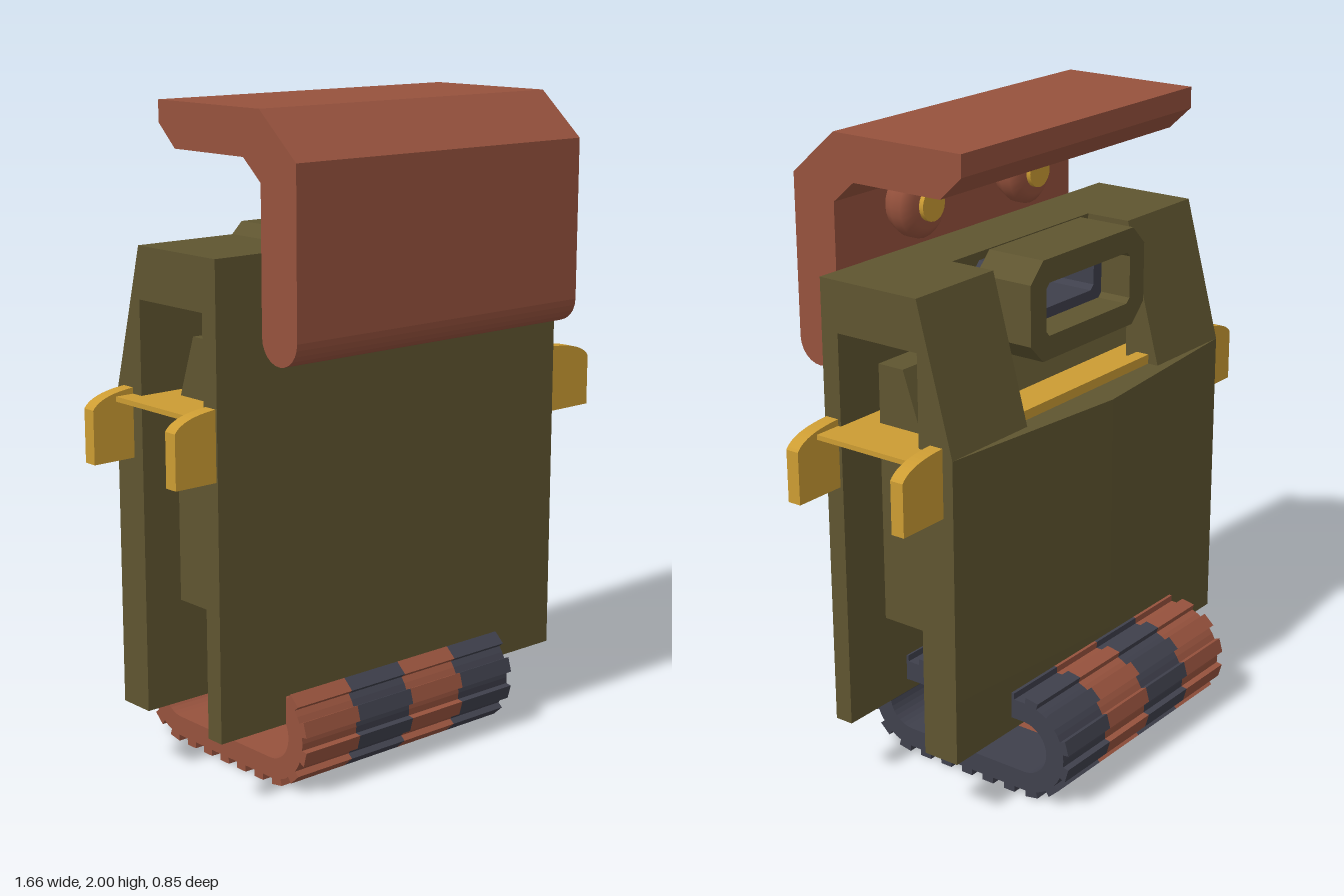
import * as THREE from 'three';

const mat = (name, color) => {
  const m = new THREE.MeshStandardMaterial({ color });
  m.name = name;
  return m;
};

export function createModel() {
  const olive = mat('olive', 0x5f5530);
  const rust = mat('rust brown', 0x96523d);
  const gold = mat('gold', 0xcc9c33);
  const slate = mat('slate', 0x3f404c);
  const model = new THREE.Group();
  const cx = -0.015; // centre line of the body

  const add = (name, geo, material) => {
    const m = new THREE.Mesh(geo, material);
    m.name = name;
    model.add(m);
    return m;
  };
  // Box from its limits
  const box = (name, material, x0, x1, y0, y1, z0, z1) =>
    add(name, new THREE.BoxGeometry(x1 - x0, y1 - y0, z1 - z0)
      .translate((x0 + x1) / 2, (y0 + y1) / 2, (z0 + z1) / 2), material);
  // Side profile of [z, y] points, extruded along x
  const toShape = (pts) => new THREE.Shape(pts.map(([z, y]) => new THREE.Vector2(-z, y)));
  const sideExtrude = (name, material, shape, x0, x1) =>
    add(name, new THREE.ExtrudeGeometry(shape, { depth: x1 - x0, bevelEnabled: false })
      .translate(0, 0, x0).rotateY(Math.PI / 2), material);
  // Chamfered rectangle in the xy plane
  const octagon = (w, h, c) => [
    [-w, -h + c], [-w + c, -h], [w - c, -h], [w, -h + c],
    [w, h - c], [w - c, h], [-w + c, h], [-w, h - c],
  ].map(([x, y]) => new THREE.Vector2(x, y));
  const frame = (name, material, outer, inner, y, z0, z1) => {
    const s = new THREE.Shape(octagon(...outer));
    s.holes.push(new THREE.Path(octagon(...inner)));
    return add(name, new THREE.ExtrudeGeometry(s, { depth: z1 - z0, bevelEnabled: false })
      .translate(cx, y, z0), material);
  };

  // Body shell: full arch on both sides, notched in the middle
  const arch = toShape([[0.26, 0.21], [0.26, 1.605], [-0.09, 1.605], [-0.21, 1.16], [-0.21, 0.21],
    [-0.09, 0.21], [-0.09, 1.45], [0.2, 1.45], [0.2, 0.21]]);
  sideExtrude('bodyShellRight', olive, arch, -0.69, -0.35);
  sideExtrude('bodyShellLeft', olive, arch, 0.32, 0.66);
  sideExtrude('bodyFrontCentre', olive, toShape([[0.26, 0.21], [0.26, 1.605], [0.06, 1.605],
    [0.06, 1.45], [0.2, 1.45], [0.2, 0.21]]), -0.35, 0.32);
  box('bodyBackCentre', olive, -0.35, 0.32, 0.21, 1.16, -0.21, -0.09);

  // Shallow peaked back panel
  const wedge = new THREE.Shape([[-0.69, 0.21], [0.66, 0.21], [cx, 0.275]]
    .map(([x, y]) => new THREE.Vector2(x, y)));
  add('backPanel', new THREE.ExtrudeGeometry(wedge, { depth: 0.75, bevelEnabled: false })
    .rotateX(-Math.PI / 2).translate(0, 0.41, 0), olive);

  // Inner core and its leg down to the track
  sideExtrude('core', olive, toShape([[0.13, 0.55], [0.13, 1.35], [0.04, 1.35],
    [-0.04, 1.12], [-0.04, 0.55]]), -0.6, 0.57);
  box('coreLeg', slate, -0.4, 0.37, 0.34, 0.55, 0, 0.13);

  // Viewing window and its sleeve
  frame('windowHousing', olive, [0.285, 0.152, 0.06], [0.21, 0.08, 0.015], 1.4725, -0.185, 0.01);
  frame('windowSleeve', slate, [0.25, 0.11, 0.04], [0.17, 0.045, 0.015], 1.47, -0.08, 0.28);

  // Hood with rounded lower lip
  const hoodPts = [[-0.185, 2], [-0.185, 1.935], [-0.11, 1.865], [0.2, 1.865], [0.275, 1.8]];
  for (let i = 0; i <= 12; i++) {
    const a = Math.PI * i / 12;
    hoodPts.push([0.35 - 0.075 * Math.cos(a), 1.375 - 0.075 * Math.sin(a)]);
  }
  hoodPts.push([0.425, 1.865], [0.27, 2]);
  sideExtrude('hood', rust, toShape(hoodPts), -0.54, 0.575);

  // Round knobs behind the hood
  for (const x of [-0.24, 0.27]) {
    const knob = new THREE.LatheGeometry([[0, 0.18], [0.075, 0.18], [0.105, 0.205], [0.105, 0.24],
      [0.085, 0.28]].map(([r, y]) => new THREE.Vector2(r, -y)).reverse(), 24);
    add('knob', knob.rotateX(-Math.PI / 2), rust).position.set(x, 1.745, 0);
    add('knobCap', new THREE.CylinderGeometry(0.05, 0.05, 0.03, 20).rotateX(Math.PI / 2), gold)
      .position.set(x, 1.745, 0.18);
  }

  // Side handles: a flat bar between two rounded end plates
  box('handleBar', gold, -0.75, 0.75, 1.155, 1.17, -0.14, 0.22);
  const plate = new THREE.Shape();
  plate.moveTo(-0.83, 0.98);
  plate.lineTo(0.83, 0.98);
  plate.lineTo(0.83, 1.14);
  plate.quadraticCurveTo(0.8, 1.185, 0.66, 1.19);
  plate.lineTo(-0.66, 1.19);
  plate.quadraticCurveTo(-0.8, 1.185, -0.83, 1.14);
  for (const z of [0.21, -0.175]) {
    add('handlePlate', new THREE.ExtrudeGeometry(plate, { depth: 0.044, bevelEnabled: false })
      .translate(0, 0, z), gold);
  }

  // Toothed track: a point at distance s along a stadium, r from its axis line
  const half = 0.22, R = 0.148, zc = -0.035, yc = 0.168;
  const length = 4 * half + 2 * Math.PI * R;
  const stadium = (s, r) => {
    s = (s + length) % length;
    const arc = Math.PI * R;
    if (s < half) return [zc - s, yc - r];
    if (s < half + arc) {
      const a = (s - half) / R;
      return [zc - half - r * Math.sin(a), yc - r * Math.cos(a)];
    }
    if (s < 3 * half + arc) return [zc - half + (s - half - arc), yc + r];
    if (s < 3 * half + 2 * arc) {
      const a = (s - 3 * half - arc) / R;
      return [zc + half + r * Math.sin(a), yc + r * Math.cos(a)];
    }
    return [zc + length - s, yc - r];
  };
  const teeth = 22, pitch = length / teeth;
  const outline = [];
  for (let i = 0; i < teeth; i++) {
    for (const [d, r] of [[-0.25, R], [-0.25, R + 0.02], [0.25, R + 0.02], [0.25, R], [0.5, R]]) {
      outline.push(stadium((i + d) * pitch, r));
    }
  }
  const track = toShape(outline);
  const bore = [];
  for (let i = 0; i < 64; i++) bore.push(stadium(length * i / 64, 0.085));
  track.holes.push(new THREE.Path(bore.map(([z, y]) => new THREE.Vector2(-z, y))));
  const cuts = [-0.45, -0.24, -0.025, 0.185, 0.4];
  for (let i = 0; i < 4; i++) {
    sideExtrude('trackBand', i % 2 ? slate : rust, track, cuts[i], cuts[i + 1]);
  }
  return model;
}
